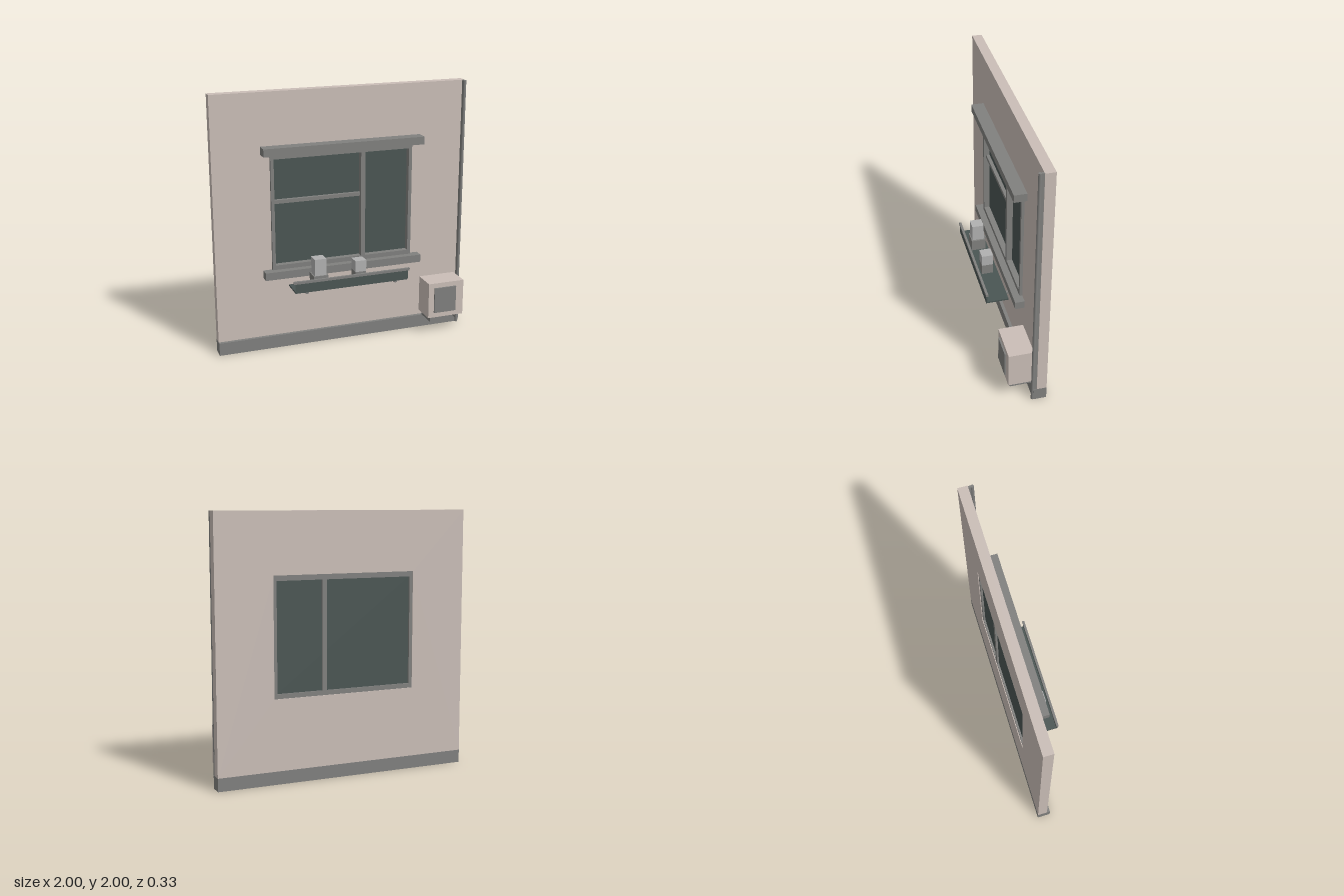
import * as THREE from 'three';

const mat = (name, color) => {
  const m = new THREE.MeshStandardMaterial({ color });
  m.name = name;
  return m;
};

export function createModel() {
  const group = new THREE.Group();
  const plaster = mat('plaster', 0xcabeb7);
  const grey = mat('trimGrey', 0x80807e);
  const dark = mat('darkSlate', 0x4a5553);
  const light = mat('paleGrey', 0xb1b1b1);

  const add = (name, geometry, material) => {
    const mesh = new THREE.Mesh(geometry, material);
    mesh.name = name;
    group.add(mesh);
    return mesh;
  };
  // box given by its min and max on each axis
  const box = (name, material, x0, x1, y0, y1, z0, z1) =>
    add(name, new THREE.BoxGeometry(x1 - x0, y1 - y0, z1 - z0), material)
      .position.set((x0 + x1) / 2, (y0 + y1) / 2, (z0 + z1) / 2);
  const rect = (Type, x0, x1, y0, y1) => new Type([
    new THREE.Vector2(x0, y0), new THREE.Vector2(x1, y0),
    new THREE.Vector2(x1, y1), new THREE.Vector2(x0, y1),
  ]);
  // flat panel with rectangular openings
  const panel = (name, material, outer, holes, z0, z1) => {
    const shape = rect(THREE.Shape, ...outer);
    holes.forEach((h) => shape.holes.push(rect(THREE.Path, ...h)));
    const geometry = new THREE.ExtrudeGeometry(shape, { depth: z1 - z0, bevelEnabled: false });
    add(name, geometry.translate(0, 0, z0), material);
  };

  const back = -0.163, face = -0.088;

  // wall and plinth
  panel('wall', plaster, [-1, 1, 0.1, 2], [[-0.565, 0.563, 0.64, 1.54]], back, face);
  box('plinth', grey, -1, 1, 0, 0.1, back, -0.062);

  // window
  panel('windowFrame', grey, [-0.565, 0.563, 0.64, 1.54],
    [[-0.54, 0.145, 0.675, 1.5], [0.18, 0.537, 0.675, 1.5]], -0.157, -0.067);
  box('windowGlass', dark, -0.545, 0.542, 0.67, 1.505, -0.142, -0.112);
  box('glazingBar', grey, -0.54, 0.145, 1.155, 1.183, -0.112, -0.085);
  box('lintel', grey, -0.635, 0.631, 1.54, 1.6, face, 0.008);
  box('sill', grey, -0.635, 0.631, 0.58, 0.64, face, -0.016);

  // flower shelf
  box('shelfFloor', dark, -0.455, 0.45, 0.518, 0.53, -0.015, 0.158);
  box('shelfFront', dark, -0.455, 0.45, 0.53, 0.592, 0.15, 0.158);
  box('shelfRail', grey, -0.467, 0.463, 0.592, 0.611, 0.145, 0.163);
  for (const x of [-0.36, 0.355]) box('shelfBracket', grey, x - 0.01, x + 0.01, 0.5, 0.518, face, 0.145);

  // pots and plants
  box('largePot', grey, -0.298, -0.184, 0.53, 0.62, 0.01, 0.12);
  box('largePlant', light, -0.288, -0.198, 0.62, 0.75, 0.02, 0.112);
  box('smallPot', grey, 0.035, 0.123, 0.53, 0.612, 0.024, 0.112);
  box('smallPlant', light, 0.035, 0.123, 0.612, 0.7, 0.024, 0.112);

  // outdoor air unit
  box('airUnitBody', plaster, 0.653, 0.953, 0.143, 0.432, -0.073, 0.116);
  box('airUnitGrille', grey, 0.7, 0.885, 0.185, 0.393, 0.116, 0.128);
  for (const x of [0.688, 0.915]) box('airUnitFoot', grey, x - 0.01, x + 0.01, 0.1, 0.143, -0.07, 0.096);

  // drainpipe on its backing strip
  box('pipeStrip', grey, 0.979, 0.995, 0, 2, face, -0.06);
  add('drainpipe', new THREE.CylinderGeometry(0.0125, 0.0125, 2, 10), grey).position.set(0.9865, 1, -0.06);

  return group;
}
